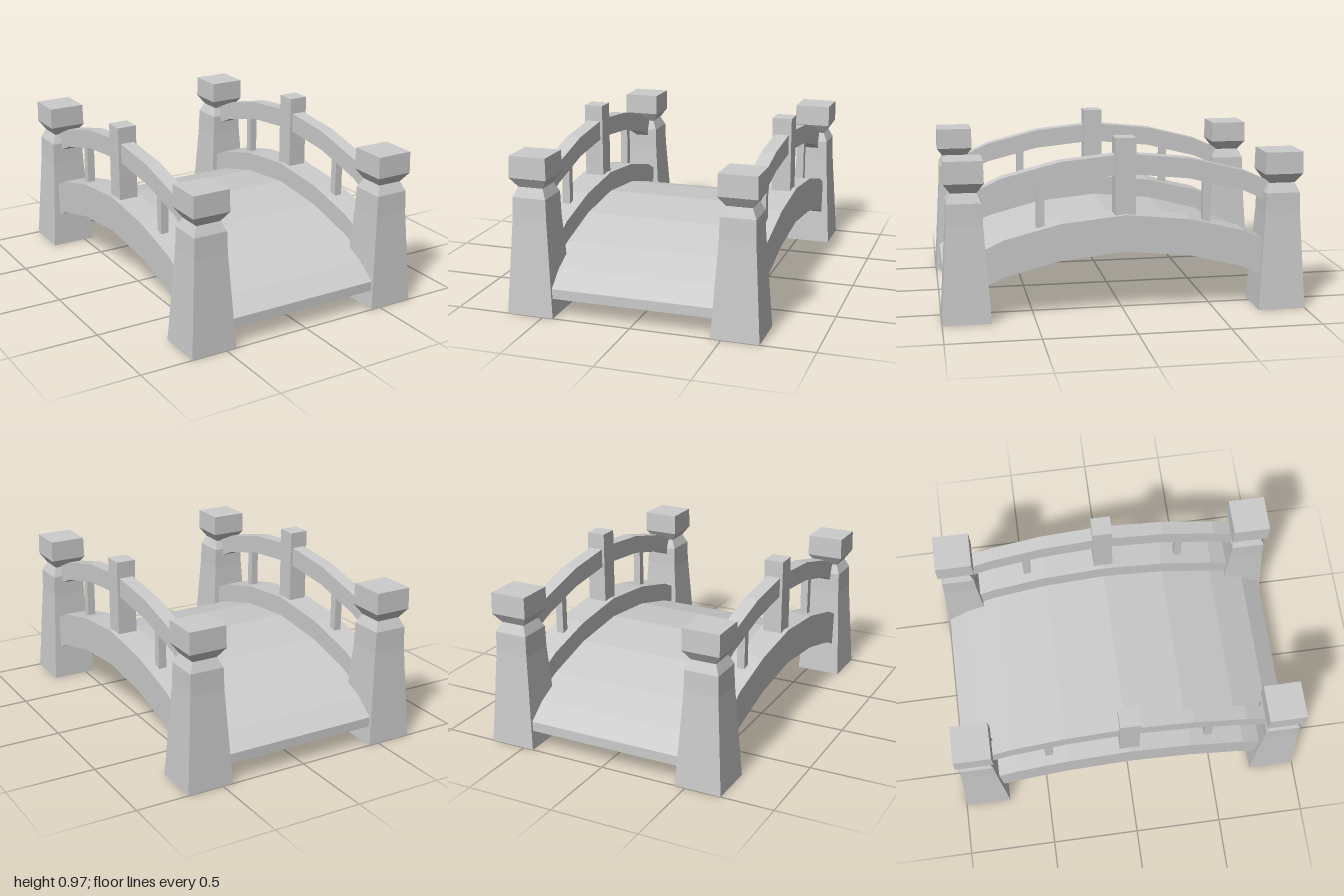
import * as THREE from 'three';

const SIDE_X = 0.573; // centre line of the posts, beams and rails
const POST_Z = 0.868;
const stone = new THREE.MeshStandardMaterial({ color: 0xcccccc, flatShading: true, side: THREE.DoubleSide });

function part(name, geometry, x = 0, y = 0, z = 0) {
  const flat = geometry.index ? geometry.toNonIndexed() : geometry;
  flat.computeVertexNormals();
  const mesh = new THREE.Mesh(flat, stone);
  mesh.name = name;
  mesh.position.set(x, y, z);
  return mesh;
}

// Faceted arch: top edge given as [z, y] from the middle outwards, mirrored to the other end
function arch(halfTop, thickness, width) {
  const mirrored = halfTop.slice(1).reverse().map(([z, y]) => [-z, y]);
  const top = [...mirrored, ...halfTop];
  const bottom = top.map(([z, y]) => [z, y - thickness]).reverse();
  const shape = new THREE.Shape([...top, ...bottom].map(([z, y]) => new THREE.Vector2(z, y)));
  const geometry = new THREE.ExtrudeGeometry(shape, { depth: width, bevelEnabled: false });
  return geometry.translate(0, 0, -width / 2).rotateY(-Math.PI / 2);
}

// Square tapered post with a necked cap, hollow underneath
function postGeometry() {
  const profile = [[0.132, 0], [0.098, 0.53], [0.095, 0.65], [0.07, 0.703], [0.106, 0.757], [0.104, 0.877], [0, 0.877]];
  const points = profile.map(([half, y]) => new THREE.Vector2(half * Math.SQRT2, y));
  return new THREE.LatheGeometry(points, 4).rotateY(Math.PI / 4);
}

export function createModel() {
  const bridge = new THREE.Group();
  bridge.name = 'archedBridge';

  // Walkway
  const deckLine = [[0, 0.44], [0.355, 0.405], [0.66, 0.325], [0.865, 0.24], [0.977, 0.16]];
  bridge.add(part('deck', arch(deckLine, 0.055, 0.99)));

  const beamLine = [[0, 0.555], [0.355, 0.519], [0.66, 0.442], [0.86, 0.348]];
  const railLine = [[0, 0.883], [0.355, 0.847], [0.66, 0.77], [0.86, 0.68]];

  for (const side of [-1, 1]) {
    const x = side * SIDE_X;
    const parapet = new THREE.Group();
    parapet.name = side > 0 ? 'leftParapet' : 'rightParapet';

    // Arched beam and handrail
    parapet.add(part('sideBeam', arch(beamLine, 0.203, 0.16), x));
    parapet.add(part('handrail', arch(railLine, 0.11, 0.08), x));

    // Middle post and slim balusters
    parapet.add(part('middlePost', new THREE.BoxGeometry(0.11, 0.47, 0.112), x, 0.735, 0));
    for (const end of [-1, 1]) {
      parapet.add(part('baluster', new THREE.BoxGeometry(0.044, 0.3, 0.044), x, 0.61, end * 0.458));
      parapet.add(part('cornerPost', postGeometry(), x, 0, end * POST_Z));
    }
    bridge.add(parapet);
  }
  return bridge;
}
